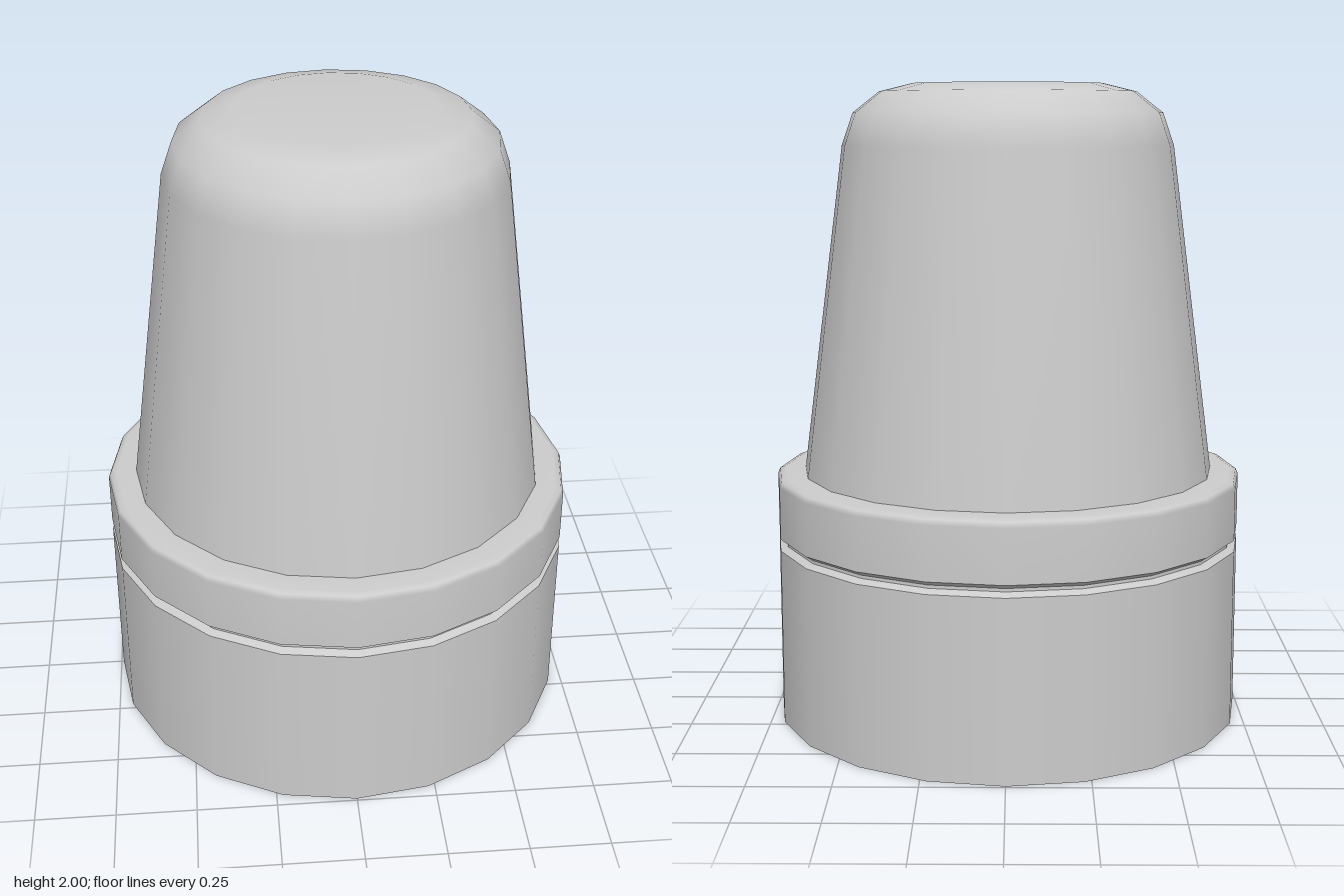
import * as THREE from 'three';

const SIDES = 20;

export function createModel() {
  const model = new THREE.Group();
  const material = new THREE.MeshStandardMaterial({ color: 0xcccccc, side: THREE.DoubleSide });

  // Thin turned shell from [radius, height] pairs, listed bottom to top
  const turned = (name, profile) => {
    const points = profile.map(([r, y]) => new THREE.Vector2(r, y));
    const mesh = new THREE.Mesh(new THREE.LatheGeometry(points, SIDES), material);
    mesh.name = name;
    model.add(mesh);
  };

  // Open-bottomed skirt; separate pieces keep the groove edges sharp
  turned('skirt', [[0.743, 0], [0.743, 0.56]]);
  turned('grooveLower', [[0.743, 0.56], [0.72, 0.572]]);
  turned('grooveFloor', [[0.72, 0.572], [0.72, 0.582]]);
  turned('grooveUpper', [[0.72, 0.582], [0.743, 0.597]]);

  // Collar with a softly rounded shoulder
  turned('collar', [[0.743, 0.597], [0.743, 0.762], [0.736, 0.778], [0.717, 0.785], [0.653, 0.785]]);

  // Tapered cap with a rounded, closed crown
  turned('cap', [
    [0.653, 0.785], [0.52, 1.81], [0.485, 1.91], [0.402, 1.975], [0.3, 2], [0, 2],
  ]);

  return model;
}
